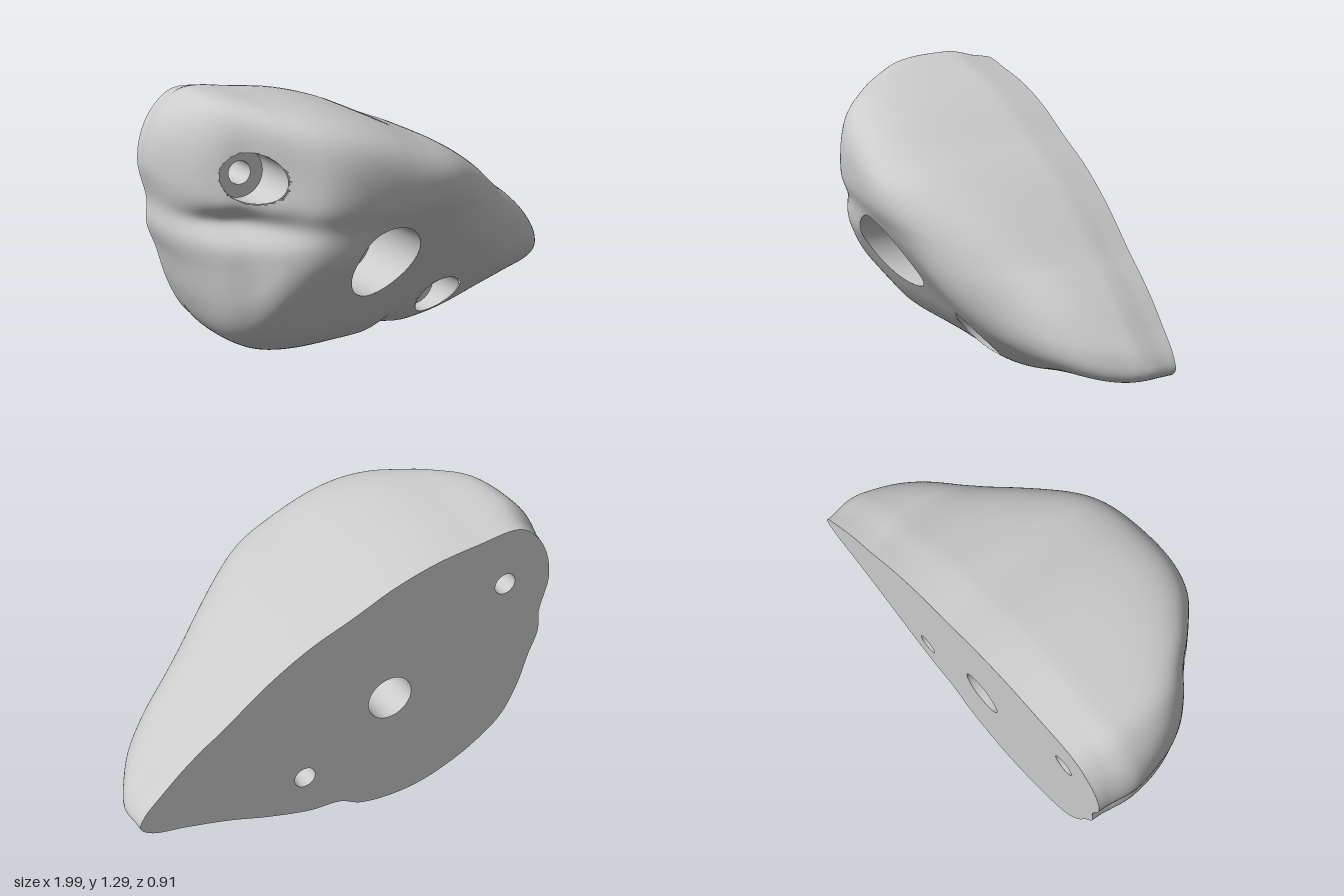
import * as THREE from 'three';

const BACK = -0.46, SEG = 300, LOOPS = 76;
const MAIN = { x: -0.19, y: 0.57, R: 0.175, r: 0.105, floor: -0.1 };
const BOLTS = [
  { x: -0.74, y: 0.985, R: 0.105, r: 0.05, floor: 0.06 },
  { x: 0.22, y: 0.285, R: 0.105, r: 0.05, floor: -0.12 },
];

// Outline, counter-clockwise from the right tip
const OUTLINE = [
  [1.012, 0.33], [0.99, 0.39], [0.9, 0.485], [0.8, 0.58], [0.7, 0.66], [0.62, 0.715], [0.4, 0.885], [0.2, 1.005],
  [0, 1.09], [-0.2, 1.18], [-0.4, 1.24], [-0.6, 1.27], [-0.82, 1.285], [-0.92, 1.21], [-0.98, 1.1],
  [-1, 0.97], [-0.965, 0.8], [-0.97, 0.69], [-0.93, 0.57], [-0.88, 0.4], [-0.8, 0.25], [-0.65, 0.13], [-0.5, 0.055],
  [-0.36, 0.012], [-0.2, 0.001], [-0.06, 0.022], [0.04, 0.072], [0.2, 0.085], [0.4, 0.135], [0.6, 0.2], [0.8, 0.25], [0.96, 0.285],
];
// Greatest depth along x, and depth of the front face along y
const DEPTH_X = [[-1, -0.14], [-0.95, 0.01], [-0.85, 0.13], [-0.75, 0.2], [-0.65, 0.3], [-0.5, 0.41], [-0.3, 0.47],
  [-0.1, 0.475], [0.05, 0.45], [0.2, 0.39], [0.4, 0.265], [0.6, 0.14], [0.8, 0.03], [0.9, -0.06], [1, -0.22]];
const DEPTH_Y = [[-0.1, -0.44], [0, -0.36], [0.05, -0.2], [0.1, -0.09], [0.18, 0], [0.29, 0.09], [0.39, 0.16], [0.57, 0.28],
  [0.65, 0.33], [0.75, 0.39], [0.85, 0.46], [0.95, 0.49], [1.05, 0.49], [1.2, 0.46], [1.3, 0.4]];

const clamp = THREE.MathUtils.clamp;
const smooth = THREE.MathUtils.smoothstep;
const bump = (x, y, cx, cy, wx, wy) => Math.exp(-(((x - cx) / wx) ** 2) - ((y - cy) / wy) ** 2);
const softMin = (a, b, k) => Math.min(a, b) - (Math.max(k - Math.abs(a - b), 0) ** 2) / (4 * k);

// Smooth curve through a short table
function sample(t, v) {
  v = clamp(v, t[0][0], t[t.length - 1][0]);
  let i = 0;
  while (i < t.length - 2 && v > t[i + 1][0]) i++;
  const slope = (k) => {
    const a = t[Math.max(k - 1, 0)], b = t[Math.min(k + 1, t.length - 1)];
    return (b[1] - a[1]) / (b[0] - a[0]);
  };
  const h = t[i + 1][0] - t[i][0], u = (v - t[i][0]) / h, u2 = u * u, u3 = u2 * u;
  return (2 * u3 - 3 * u2 + 1) * t[i][1] + (u3 - 2 * u2 + u) * h * slope(i)
    + (3 * u2 - 2 * u3) * t[i + 1][1] + (u3 - u2) * h * slope(i + 1);
}

const curve = new THREE.CatmullRomCurve3(OUTLINE.map(([x, y]) => new THREE.Vector3(x, y, 0)), true);
const RIM = curve.getSpacedPoints(SEG).slice(0, SEG).map((p) => {
  const dx = p.x - MAIN.x, dy = p.y - MAIN.y;
  return { x: p.x, y: p.y, a: Math.atan2(dy, dx), d: Math.hypot(dx, dy) };
});

// 0 at the main hole, 1 at the outline
function spread(x, y) {
  const a = Math.atan2(y - MAIN.y, x - MAIN.x);
  const gap = (p) => Math.abs(Math.atan2(Math.sin(p.a - a), Math.cos(p.a - a)));
  let best = RIM[0];
  for (const p of RIM) if (gap(p) < gap(best)) best = p;
  return clamp((Math.hypot(x - MAIN.x, y - MAIN.y) - MAIN.R) / (best.d - MAIN.R), 0, 1);
}

// Depth of the body surface
function depth(x, y, s = spread(x, y)) {
  const front = sample(DEPTH_Y, y - 0.2 * smooth(x, 0.25, 1))
    + 0.075 * smooth(-x, 0.02, 0.45) * (1 - smooth(y, 0.6, 0.82)) * smooth(y, 0.02, 0.25);
  let z = softMin(front, sample(DEPTH_X, x), 0.1);
  z -= 0.1 * bump(x, y, -0.79, 0.78, 0.2, 0.06);      // side groove
  z -= 0.05 * bump(x, y, 0.05, 0.11, 0.06, 0.12);     // crease beside the lower lobe
  z -= 0.03 * bump(x, y, -0.74, 0.985, 0.15, 0.14);   // dip round the upper bolt
  z += 0.005 * Math.sin(9 * x + 4 * y) * Math.sin(11 * y - 3 * x);
  return BACK + Math.max(z - BACK, 0.06) * Math.pow(1 - s ** 5.5, 1 / 5.5);
}

// The walls draw in a little toward the back
function taper(x, y, z) {
  const f = 1 - 0.03 * (1 - smooth(z, BACK, -0.26));
  return [0.1 + (x - 0.1) * f, y * f, z];
}

function bodyGeometry() {
  const pos = [], idx = [];
  for (let k = 0; k <= LOOPS; k++) {
    const s = 1 - (1 - k / LOOPS) ** 3;
    for (const p of RIM) {
      const d = MAIN.R + (p.d - MAIN.R) * s;
      const x = MAIN.x + Math.cos(p.a) * d, y = MAIN.y + Math.sin(p.a) * d;
      const z = depth(x, y, s);
      pos.push(...(s > 0.8 ? taper(x, y, z) : [x, y, z]));
    }
  }
  // Leave out the faces inside the bolt holes
  const inside = (tri) => BOLTS.some((b) => {
    const cx = tri.reduce((t, i) => t + pos[3 * i], 0) / 3;
    const cy = tri.reduce((t, i) => t + pos[3 * i + 1], 0) / 3;
    return Math.hypot(cx - b.x, cy - b.y) < b.R;
  });
  for (let k = 0; k < LOOPS; k++) {
    for (let i = 0; i < SEG; i++) {
      const j = (i + 1) % SEG, a = k * SEG + i, b = a + SEG, c = (k + 1) * SEG + j, d = k * SEG + j;
      for (const tri of [[a, b, c], [a, c, d]]) if (!inside(tri)) idx.push(...tri);
    }
  }
  // Pull the ragged edge out onto each circle
  for (const i of new Set(idx)) {
    for (const b of BOLTS) {
      const dx = pos[3 * i] - b.x, dy = pos[3 * i + 1] - b.y, d = Math.hypot(dx, dy);
      if (d >= b.R || d === 0) continue;
      const x = b.x + (dx / d) * b.R, y = b.y + (dy / d) * b.R;
      pos.splice(3 * i, 3, x, y, depth(x, y));
    }
  }
  const g = new THREE.BufferGeometry();
  g.setAttribute('position', new THREE.Float32BufferAttribute(pos, 3));
  g.setIndex(idx);
  g.computeVertexNormals();
  return g;
}

// Open tube along z whose front edge may follow the surface
function boreGeometry(h, radius, front, back) {
  const g = new THREE.CylinderGeometry(radius, radius, 1, 64, 1, true);
  g.rotateX(Math.PI / 2);
  const p = g.attributes.position;
  for (let i = 0; i < p.count; i++) {
    const x = p.getX(i) + h.x, y = p.getY(i) + h.y;
    p.setXYZ(i, x, y, p.getZ(i) > 0 ? front(x, y) : back);
  }
  return g;
}

export function createModel() {
  const model = new THREE.Group();
  const mat = new THREE.MeshStandardMaterial({ color: 0xcccccc, side: THREE.DoubleSide });
  const add = (name, geometry, parent = model) => {
    const m = new THREE.Mesh(geometry, mat);
    m.name = name;
    parent.add(m);
    return m;
  };

  add('body', bodyGeometry());

  // Flat back with the through holes
  const shape = new THREE.Shape(RIM.map((p) => new THREE.Vector2(...taper(p.x, p.y, BACK).slice(0, 2))));
  for (const h of [MAIN, ...BOLTS]) shape.holes.push(new THREE.Path().absarc(h.x, h.y, h.r, 0, Math.PI * 2, true));
  add('flatBack', new THREE.ShapeGeometry(shape, 32)).position.z = BACK;

  // Stepped holes
  [MAIN, ...BOLTS].forEach((h, i) => {
    const group = new THREE.Group();
    group.name = ['mainHole', 'upperBoltHole', 'lowerBoltHole'][i];
    model.add(group);
    add('counterbore', boreGeometry(h, h.R, (x, y) => Math.max(depth(x, y), h.floor), h.floor), group);
    add('seat', new THREE.RingGeometry(h.r, h.R, 64), group).position.set(h.x, h.y, h.floor);
    add('throughBore', boreGeometry(h, h.r, () => h.floor, BACK), group);
  });
  return model;
}
